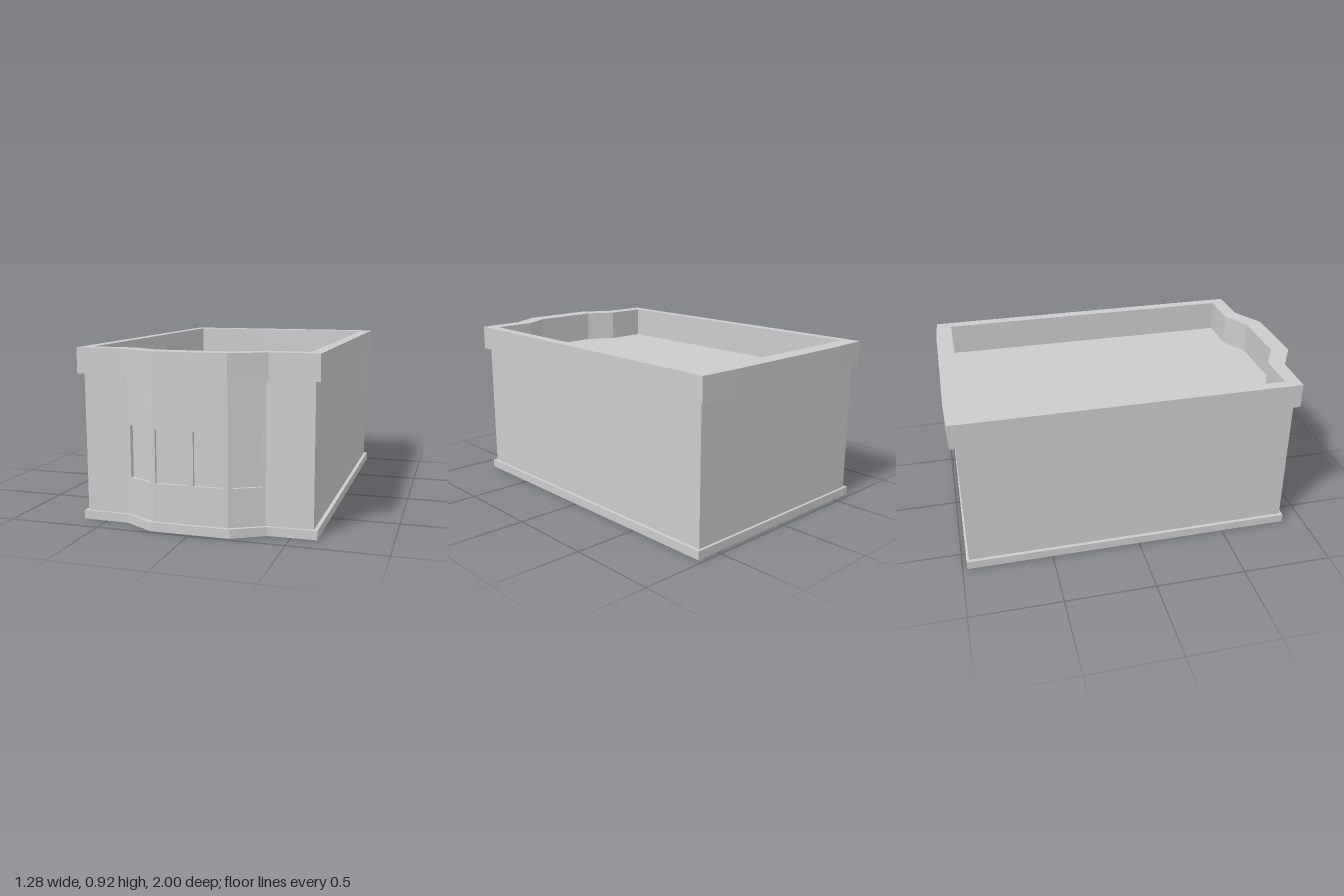
import * as THREE from 'three';

const material = new THREE.MeshStandardMaterial({ color: 0xcccccc, flatShading: true });

// Plan outline from the right half (x, z), front centre to back, mirrored across x = 0.
function plan(half) {
  const right = half.map(([x, z]) => new THREE.Vector2(x, -z));
  const left = half.map(([x, z]) => new THREE.Vector2(-x, -z)).reverse();
  return [...right, ...left];
}

// Raise a plan outline from y0 to y1, with an optional opening.
function raise(name, outline, y0, y1, hole) {
  const shape = new THREE.Shape(outline);
  if (hole) shape.holes.push(new THREE.Path(hole));
  const geometry = new THREE.ExtrudeGeometry(shape, { depth: y1 - y0, bevelEnabled: false });
  geometry.rotateX(-Math.PI / 2).translate(0, y0, 0);
  const mesh = new THREE.Mesh(geometry, material);
  mesh.name = name;
  return mesh;
}

function rectangle(Type, x0, x1, y0, y1) {
  return new Type([[x0, y0], [x1, y0], [x1, y1], [x0, y1]].map(p => new THREE.Vector2(...p)));
}

const RECESS = 0.017;
const WALL_TOP = 0.785;

// Bay wall between plan points a and b (left to right seen from outside), with window openings.
function bayWall(name, a, b, windows) {
  const dx = b[0] - a[0], dz = b[1] - a[1];
  const length = Math.hypot(dx, dz);
  const shape = rectangle(THREE.Shape, 0, length, 0.02, WALL_TOP);
  for (const [s, e] of windows) {
    shape.holes.push(rectangle(THREE.Path, s * length, e * length, 0.247, 0.525));
  }
  const geometry = new THREE.ExtrudeGeometry(shape, { depth: RECESS, bevelEnabled: false });
  geometry.translate(0, 0, -RECESS);
  const mesh = new THREE.Mesh(geometry, material);
  mesh.name = name;
  mesh.position.set(a[0], 0, a[1]);
  mesh.rotation.y = -Math.atan2(dz, dx);
  return mesh;
}

export function createModel() {
  const model = new THREE.Group();
  model.name = 'flatRoofBuilding';

  const base = plan([[0.21, 0.98], [0.38, 0.885], [0.633, 0.88], [0.633, -0.975]]);
  const core = plan([[0.196, 0.943], [0.362, 0.855], [0.37, 0.87], [0.613, 0.865], [0.613, -0.96]]);
  const parapet = plan([[0.21, 1], [0.386, 0.9], [0.64, 0.893], [0.64, -0.99], [0.42, -1]]);
  const inner = plan([[0.19, 0.9], [0.345, 0.815], [0.58, 0.815], [0.58, -0.905]]);

  model.add(
    raise('basePlinth', base, 0, 0.047),
    raise('walls', core, 0.02, WALL_TOP, inner),
    raise('roofDeck', inner, 0.7, 0.74),
    raise('parapet', parapet, WALL_TOP, 0.92, inner),
  );

  // Three-sided bay with recessed windows
  model.add(
    bayWall('bayWallRight', [-0.37, 0.87], [-0.2, 0.96], [[0.08, 0.89]]),
    bayWall('bayWallCentre', [-0.2, 0.96], [0.2, 0.96], [[0.0375, 0.455], [0.545, 0.9625]]),
    bayWall('bayWallLeft', [0.2, 0.96], [0.37, 0.87], [[0.11, 0.92]]),
  );
  return model;
}
